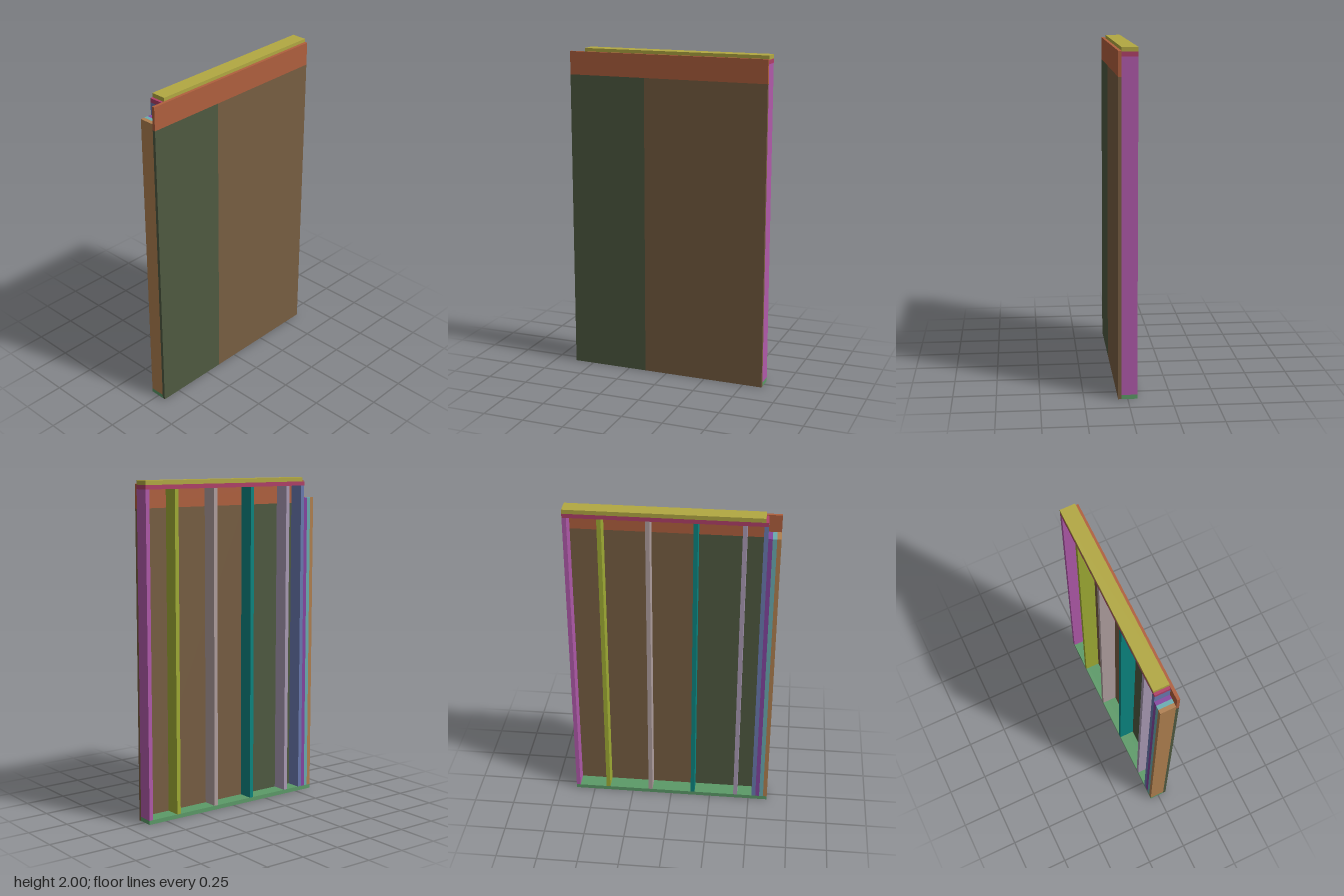
import * as THREE from 'three';

// Framed wall panel: studs between plates, sheathed on the front.
const HALF = 0.62;              // half width of the wall
const T = 0.025;                // lumber thickness
const BACK = -0.055, FACE = 0.037, FRONT = 0.055;

export function createModel() {
  const wall = new THREE.Group();
  wall.name = 'framedWall';

  // Box given by its limits on each axis
  function board(name, color, x0, x1, y0, y1, z0 = BACK, z1 = FACE) {
    const mesh = new THREE.Mesh(
      new THREE.BoxGeometry(x1 - x0, y1 - y0, z1 - z0),
      new THREE.MeshStandardMaterial({ color })
    );
    mesh.position.set((x0 + x1) / 2, (y0 + y1) / 2, (z0 + z1) / 2);
    mesh.name = name;
    wall.add(mesh);
  }

  // Plates; the upper ones stop short of the right end
  const plateTop = 2 - 2 * T;
  board('bottomPlate', 0x5c9a68, -HALF, HALF, 0, T);
  board('lowerTopPlate', 0xb04068, -0.546, HALF, plateTop, 2 - T);
  board('upperTopPlate', 0xb2a842, -0.53, HALF, 2 - T, 2);

  // Full-height studs, listed by their left (+x) face
  const studs = [
    ['leftEndStud', 0xb05aaa, HALF],
    ['stud1', 0xa0ac34, 0.423],
    ['stud2', 0xb09f9f, 0.147],
    ['stud3', 0x0a8580, -0.127],
    ['stud4', 0xaa9bb5, -0.403],
    ['rightStud', 0x6a7ab0, -0.521],
  ];
  for (const [name, color, x] of studs) board(name, color, x - T, x, T, plateTop);

  // Shorter studs packed together at the right end
  const packed = [
    ['innerJackStud', 0x8545a0],
    ['middleJackStud', 0x6aacb0],
    ['outerJackStud', 0xb08050],
  ];
  const step = (HALF - 0.546) / packed.length;
  packed.forEach(([name, color], i) => {
    const x = -0.546 - i * step;
    board(name, color, x - step, x, T, 1.876);
  });

  // Front sheathing: two tall sheets and a strip across the top
  board('rightSheet', 0x4f5a41, -HALF, -0.14, 0, 1.84, FACE, FRONT);
  board('leftSheet', 0x775e42, -0.14, HALF, 0, 1.84, FACE, FRONT);
  board('topStrip', 0xb0603e, -HALF, HALF, 1.84, 1.98, FACE, FRONT);

  return wall;
}
